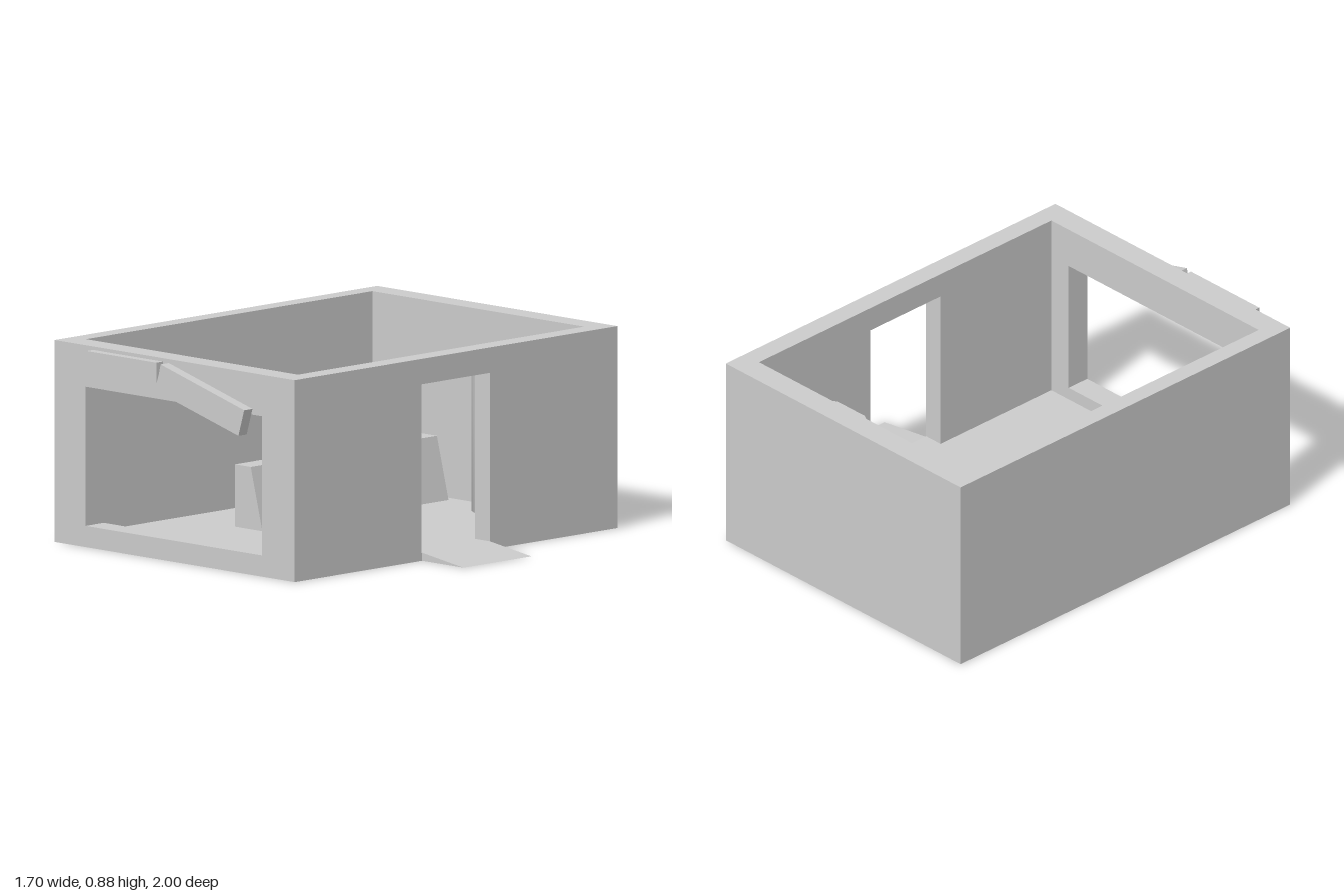
import * as THREE from 'three';
import { toCreasedNormals } from 'three/addons/utils/BufferGeometryUtils.js';

const material = new THREE.MeshStandardMaterial({ color: 0xcccccc });

// Outer shell, inner room and floor level
const OUT = { x0: -0.85, x1: 0.6, z0: -1, z1: 0.95, h: 0.875 };
const IN = { x0: -0.77, x1: 0.51, z0: -0.89, z1: 0.84 };
const FLOOR = 0.035;

const toPoints = (pts) => pts.map(([x, y]) => new THREE.Vector2(x, y));
const rect = (x0, y0, x1, y1) => [[x0, y0], [x1, y0], [x1, y1], [x0, y1]];

// Prism with a flat outline, from z = 0 to depth, with an optional opening
function prism(outline, depth, opening) {
  const shape = new THREE.Shape(toPoints(outline));
  if (opening) shape.holes.push(new THREE.Path(toPoints(opening)));
  return new THREE.ExtrudeGeometry(shape, { depth, bevelEnabled: false });
}

function box(x0, x1, y0, y1, z0, z1) {
  return new THREE.BoxGeometry(x1 - x0, y1 - y0, z1 - z0)
    .translate((x0 + x1) / 2, (y0 + y1) / 2, (z0 + z1) / 2);
}

export function createModel() {
  const model = new THREE.Group();
  model.name = 'openRoofShop';
  const add = (name, geometry) => {
    const mesh = new THREE.Mesh(geometry, material);
    mesh.name = name;
    model.add(mesh);
  };

  // Floor and plain walls
  add('floor', box(IN.x0, IN.x1, 0, FLOOR, IN.z0, IN.z1));
  add('backWall', box(OUT.x0, OUT.x1, 0, OUT.h, OUT.z0, IN.z0));
  add('sideWall', box(OUT.x0, IN.x0, 0, OUT.h, IN.z0, IN.z1));

  // Front wall with a wide window
  add('frontWall', prism(
    rect(OUT.x0, 0, OUT.x1, OUT.h), OUT.z1 - IN.z1,
    rect(-0.663, 0.092, 0.403, 0.695)
  ).translate(0, 0, IN.z1));

  // Side wall with a doorway, drawn along -z and turned to face +x
  add('doorWall', prism(
    rect(-IN.z1, 0, -IN.z0, OUT.h), OUT.x1 - IN.x1,
    rect(-0.185, FLOOR, 0.23, 0.765)
  ).rotateY(Math.PI / 2).translate(IN.x1, 0, 0));

  // Entrance ramp
  add('ramp', prism([[OUT.x1, 0], [0.85, 0], [OUT.x1, FLOOR]], 0.41)
    .translate(0, 0, -0.23));

  // Long counter with one sloping side
  add('counter', prism(
    [[-0.435, FLOOR], [-0.27, FLOOR], [-0.34, 0.305], [-0.435, 0.305]], 1.125
  ).translate(0, 0, -0.85));

  // Cabinet against the back wall, smooth around its front
  const cabinet = prism(
    [[0, 0.89], [0, 0.72], [0.085, 0.67], [0.25, 0.67], [0.335, 0.72], [0.335, 0.89]],
    0.7 - FLOOR
  ).rotateX(-Math.PI / 2).translate(0, FLOOR, 0);
  add('cabinet', toCreasedNormals(cabinet, 1.15));

  // Two sign boards above the window, one hanging askew
  add('signBoard', box(-0.617, -0.195, 0.74, 0.86, OUT.z1, 0.99));
  add('hangingSignBoard', prism(
    [[-0.195, 0.742], [0.31, 0.605], [0.345, 0.72], [-0.16, 0.858], [-0.17, 0.815]], 0.05
  ).translate(0, 0, OUT.z1));

  return model;
}
